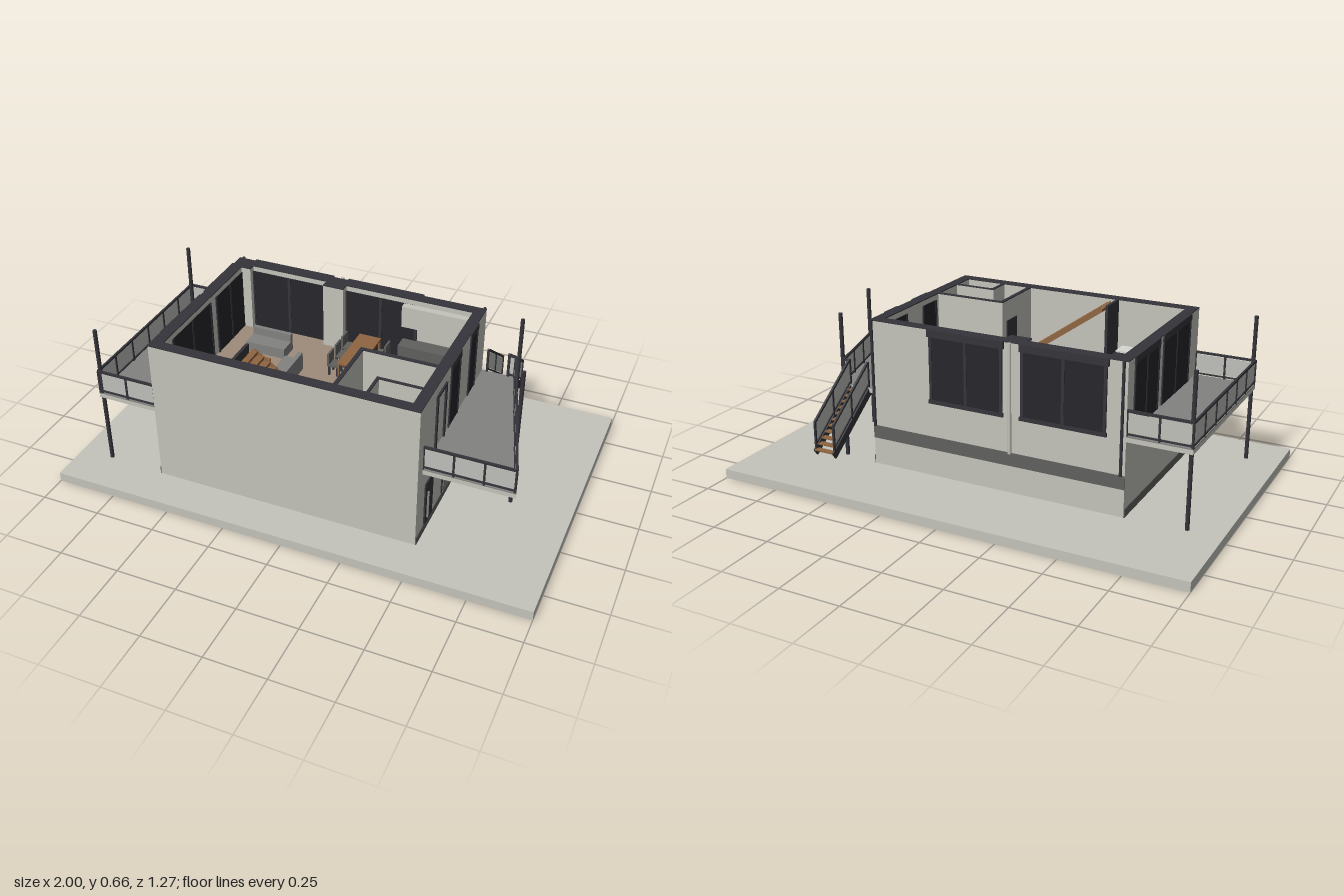
import * as THREE from 'three';

const mat = (name, color) => {
  const m = new THREE.MeshStandardMaterial({ color, side: THREE.DoubleSide });
  m.name = name;
  return m;
};

export function createModel() {
  const M = {
    wall: mat('wall render', 0xc4c4bc),
    dark: mat('dark metal', 0x35343a),
    pane: mat('window glass', 0x26262c),
    grey: mat('mid grey', 0x828281),
    plinth: mat('plinth grey', 0x60615f),
    wood: mat('wood', 0x8f6641),
    floor: mat('floor boards', 0x9e8b79),
    panel: mat('railing panel', 0xbfc0ba),
    white: mat('white ceramic', 0xd6d8d2),
  };
  const root = new THREE.Group();
  root.name = 'house';
  const group = (name) => {
    const g = new THREE.Group();
    g.name = name;
    root.add(g);
    return g;
  };
  const add = (parent, name, geo, m) => {
    const mesh = new THREE.Mesh(geo, m);
    mesh.name = name;
    parent.add(mesh);
    return mesh;
  };
  // box given by its extents on each axis
  const box = (p, name, m, x0, x1, y0, y1, z0, z1) => add(p, name,
    new THREE.BoxGeometry(x1 - x0, y1 - y0, z1 - z0)
      .translate((x0 + x1) / 2, (y0 + y1) / 2, (z0 + z1) / 2), m);
  const rod = (p, name, m, x, z, y0, y1, r) => add(p, name,
    new THREE.CylinderGeometry(r, r, y1 - y0, 12).translate(x, (y0 + y1) / 2, z), m);
  // square bar between two points
  const bar = (p, name, m, a, b, w, h = w) => {
    const A = new THREE.Vector3(...a), B = new THREE.Vector3(...b);
    const mesh = add(p, name, new THREE.BoxGeometry(w, h, A.distanceTo(B)), m);
    mesh.position.copy(A).lerp(B, 0.5);
    mesh.lookAt(B);
  };
  // railing with posts, two rails and an infill panel, level or sloping
  const railing = (p, a, b, n, h = 0.1) => {
    const up = ([x, y, z], d) => [x, y + d, z];
    bar(p, 'topRail', M.dark, up(a, h), up(b, h), 0.009);
    bar(p, 'bottomRail', M.dark, up(a, 0.008), up(b, 0.008), 0.006);
    for (let i = 0; i <= n; i++) {
      const q = a.map((v, k) => v + (b[k] - v) * i / n);
      box(p, 'railPost', M.dark, q[0] - 0.004, q[0] + 0.004, q[1] - 0.005, q[1] + h, q[2] - 0.004, q[2] + 0.004);
    }
    const c = [up(a, 0.014), up(b, 0.014), up(b, h - 0.008), up(a, h - 0.008)];
    const g = new THREE.BufferGeometry();
    g.setAttribute('position', new THREE.Float32BufferAttribute(c.flat(), 3));
    g.setIndex([0, 1, 2, 0, 2, 3]);
    g.computeVertexNormals();
    add(p, 'railPanel', g, M.panel);
  };
  // flat slab from an outline in x and z
  const slab = (p, name, m, pts, y0, y1) => {
    const s = new THREE.Shape(pts.map(([x, z]) => new THREE.Vector2(x, -z)));
    add(p, name, new THREE.ExtrudeGeometry(s, { depth: y1 - y0, bevelEnabled: false })
      .rotateX(-Math.PI / 2).translate(0, y0, 0), m);
  };

  // ground slab and shell, walls capped in dark
  const X0 = -0.615, X1 = 0.49, Z0 = -0.295, Z1 = 0.47, T = 0.044, TOP = 0.66, F = 0.37;
  box(root, 'groundSlab', M.wall, -1, 1, 0, 0.04, -0.635, 0.635);
  const shell = group('shell');
  const wall = (name, x0, x1, z0, z1, y0 = 0.04) => {
    box(shell, name, M.wall, x0, x1, y0, TOP - 0.004, z0, z1);
    box(shell, name + 'Cap', M.dark, x0, x1, TOP - 0.004, TOP, z0, z1);
  };
  wall('frontWall', X0, X1, Z1 - T, Z1);
  wall('backWall', X0, X1, Z0, Z0 + T);
  wall('rightWall', X0, X0 + T, Z0 + T, Z1 - T);
  wall('leftWall', X1 - T, X1, Z0 + T, Z1 - T);
  wall('backPillar', -0.19, -0.1, Z0 + T, -0.215, F);
  wall('cornerPillar', X0 + T, -0.53, Z0 + T, -0.222, F);
  box(shell, 'upperFloor', M.floor, X0 + T, X1 - T, 0.34, F, Z0 + T, Z1 - T);
  // base strips on the sides and the band across the back
  box(shell, 'leftPlinth', M.plinth, X1, X1 + 0.004, 0.04, 0.075, Z0, Z1);
  box(shell, 'rightPlinth', M.plinth, X0 - 0.004, X0, 0.04, 0.075, Z0, Z1);
  box(shell, 'backBand', M.plinth, X0, X1, 0.155, 0.21, Z0 - 0.004, Z0);

  // partitions around the bathroom, with a door
  wall('hallPartition', 0.135, 0.151, 0.16, Z1 - T, F);
  wall('roomPartition', 0.151, X1 - T, 0.16, 0.176, F);
  wall('bathSideWall', 0.265, 0.277, 0.32, Z1 - T, F);
  wall('bathFrontWall', 0.277, X1 - T, 0.32, 0.332, F);
  box(shell, 'hallDoor', M.dark, 0.131, 0.135, F, 0.57, 0.195, 0.285);

  // windows of the back wall, seen inside and out
  const windows = group('windows');
  for (const [a, b] of [[-0.53, -0.19], [-0.1, 0.21]]) {
    for (const z of [Z0 - 0.003, Z0 + T + 0.003]) {
      const s = z < -0.27 ? -1 : 1, o = z + s * 0.003;
      const zz = [Math.min(z, o) - 0.002, Math.max(z, o) + 0.002];
      box(windows, 'backPane', M.pane, a, b, F, 0.635, z - 0.003, z + 0.003);
      for (const x of [a, (a + b) / 2, b])
        box(windows, 'windowBar', M.dark, x - 0.006, x + 0.006, F, 0.635, ...zz);
    }
    box(windows, 'blindBox', M.dark, a - 0.012, b + 0.012, 0.63, TOP, Z0 - 0.011, Z0);
    box(windows, 'windowSill', M.dark, a - 0.01, b + 0.01, 0.355, F, Z0 - 0.011, Z0);
  }
  // glazed doors in the side walls
  const sideGlass = (z0, z1, outer, inner, s, bars) => {
    for (const x of [outer, inner]) {
      box(windows, 'sidePane', M.pane, x - 0.003, x + 0.003, F, 0.635, z0, z1);
      for (let i = 0; i <= bars; i++) {
        const z = z0 + (z1 - z0) * i / bars;
        box(windows, 'sideBar', M.dark, x - 0.005, x + 0.005, F, 0.635, z - 0.005, z + 0.005);
      }
    }
    box(windows, 'sideBlindBox', M.dark, outer - 0.006, outer + 0.006, 0.632, TOP, z0 - 0.008, z1 + 0.008);
  };
  sideGlass(-0.23, 0.01, X0, X0 + T, -1, 2);
  sideGlass(0.06, 0.36, X0, X0 + T, -1, 2);
  sideGlass(0.034, 0.136, X1, X1 - T, 1, 1);
  sideGlass(-0.175, -0.095, X1, X1 - T, 1, 1);

  // doors of the left side
  const doors = group('doors');
  box(doors, 'entranceDoor', M.dark, X1, X1 + 0.006, 0.075, 0.27, 0.3, 0.385);
  box(doors, 'doorHandle', M.grey, X1 + 0.006, X1 + 0.014, 0.1, 0.225, 0.362, 0.368);
  box(doors, 'garageFrame', M.dark, X1, X1 + 0.005, 0.075, 0.285, -0.14, 0.183);
  box(doors, 'garageDoor', M.grey, X1, X1 + 0.008, 0.075, 0.275, -0.132, 0.175);
  for (const [a, b] of [[0.19, 0.203], [0.285, 0.298]])
    box(doors, 'balconyDoorJamb', M.dark, X1, X1 + 0.007, F, 0.605, a, b);
  box(doors, 'balconyDoorLintel', M.dark, X1, X1 + 0.007, 0.605, 0.617, 0.19, 0.298);

  // balconies
  const balconies = group('balconies');
  const terrace = (pts) => {
    slab(balconies, 'balconySlab', M.wall, pts, 0.347, 0.366);
    slab(balconies, 'balconyDeck', M.grey, pts, 0.366, F);
  };
  terrace([[X0, Z0], [X0, 0.465], [-0.872, 0.465], [-0.872, Z0]]);
  terrace([[X1, Z0], [0.632, Z0], [0.845, 0.42], [X1, 0.42]]);
  const R = (a, b, n) => railing(balconies, [a[0], F, a[1]], [b[0], F, b[1]], n);
  R([X0, 0.461], [-0.868, 0.461], 2);
  R([-0.868, 0.461], [-0.868, -0.291], 6);
  R([-0.868, -0.291], [X0, -0.291], 2);
  R([X1, 0.416], [0.839, 0.416], 3);
  R([0.839, 0.416], [0.628, -0.291], 6);
  R([0.628, -0.291], [0.603, -0.291], 1);
  for (const [x, z] of [[-0.86, -0.277], [-0.86, 0.456], [0.75, 0.08], [0.645, -0.275]])
    rod(root, 'supportPost', M.dark, x, z, 0.04, TOP, 0.0085);

  // outside stair
  const stair = group('outsideStair');
  for (const x of [0.512, 0.6]) {
    bar(stair, 'stringer', M.dark, [x, 0.352, -0.285], [x, 0.163, -0.55], 0.008, 0.032);
    railing(stair, [x, 0.375, -0.292], [x, 0.19, -0.545], 2);
  }
  for (let i = 0; i < 11; i++) {
    const z = -0.303 - i * 0.0243, y = 0.35 - i * 0.0174;
    box(stair, 'tread', M.wood, 0.514, 0.598, y - 0.003, y + 0.003, z - 0.013, z + 0.011);
  }

  // downpipes on the back wall
  for (const x of [-0.6, 0.48]) rod(root, 'downpipe', M.dark, x, -0.302, 0.21, TOP, 0.006);
  rod(root, 'middleDownpipe', M.wall, -0.14, -0.305, 0.21, TOP, 0.007);

  // inside stair along the front wall
  const inner = group('insideStair');
  for (let i = 0; i < 15; i++) {
    const x = 0.12 - i * 0.0255, y = 0.385 + i * 0.018;
    box(inner, 'step', M.wood, x - 0.013, x + 0.013, y - 0.007, y + 0.005, 0.312, 0.424);
  }
  for (const z of [0.314, 0.421])
    bar(inner, 'stepBeam', M.wood, [0.13, 0.375, z], [-0.245, 0.64, z], 0.006, 0.022);
  box(inner, 'stairEndWall', M.dark, -0.278, -0.266, F, TOP, 0.308, Z1 - T);

  // living room
  const room = group('furniture');
  const legs = (x0, x1, z0, z1, y, m) => {
    for (const x of [x0 + 0.006, x1 - 0.006]) for (const z of [z0 + 0.006, z1 - 0.006])
      box(room, 'leg', m, x - 0.004, x + 0.004, F, y, z - 0.004, z + 0.004);
  };
  const table = (name, x0, x1, z0, z1, y) => {
    box(room, name, M.wood, x0, x1, y - 0.008, y, z0, z1);
    legs(x0, x1, z0, z1, y - 0.008, M.wood);
  };
  table('diningTable', -0.03, 0.066, -0.23, 0.013, 0.455);
  table('coffeeTable', -0.435, -0.32, 0.025, 0.105, 0.41);
  for (const z of [-0.205, -0.135, -0.062]) for (const s of [-1, 1]) {
    const c = 0.018 + s * 0.075, e = 0.018 + s * 0.096;
    box(room, 'chairSeat', M.plinth, c - 0.024, c + 0.024, 0.412, 0.42, z, z + 0.053);
    box(room, 'chairBack', M.plinth, e - 0.004, e + 0.004, 0.412, 0.47, z, z + 0.053);
    legs(c - 0.024, c + 0.024, z, z + 0.053, 0.412, M.dark);
  }
  box(room, 'sofaSeat', M.grey, -0.47, -0.295, F, 0.415, -0.13, -0.045);
  box(room, 'sofaBack', M.grey, -0.47, -0.295, F, 0.45, -0.13, -0.112);
  box(room, 'loungeSeat', M.grey, -0.272, -0.192, F, 0.415, -0.01, 0.172);
  box(room, 'loungeBack', M.grey, -0.21, -0.192, F, 0.45, -0.01, 0.172);
  box(room, 'whiteCabinet', M.white, -0.44, -0.3, F, 0.46, 0.35, 0.424);

  // kitchen
  box(room, 'kitchenIsland', M.plinth, 0.228, 0.445, F, 0.47, -0.075, -0.004);
  box(room, 'kitchenCounter', M.plinth, 0.157, 0.445, F, 0.47, -0.25, -0.184);
  box(room, 'wallCupboard', M.wall, 0.157, 0.445, 0.54, 0.635, -0.25, -0.22);
  for (const x of [0.347, 0.405]) {
    rod(room, 'stoolSeat', M.plinth, x, 0.022, 0.435, 0.443, 0.018);
    rod(room, 'stoolLeg', M.dark, x, 0.022, F, 0.435, 0.004);
  }

  // bathroom
  box(room, 'bathFloor', M.plinth, 0.277, X1 - T, F, 0.374, 0.332, Z1 - T);
  box(room, 'washBasin', M.white, 0.28, 0.312, 0.44, 0.46, 0.342, 0.378);
  rod(room, 'toiletBowl', M.white, 0.403, 0.378, F, 0.418, 0.018);
  box(room, 'toiletTank', M.white, 0.385, 0.421, F, 0.45, 0.385, 0.402);
  return root;
}
